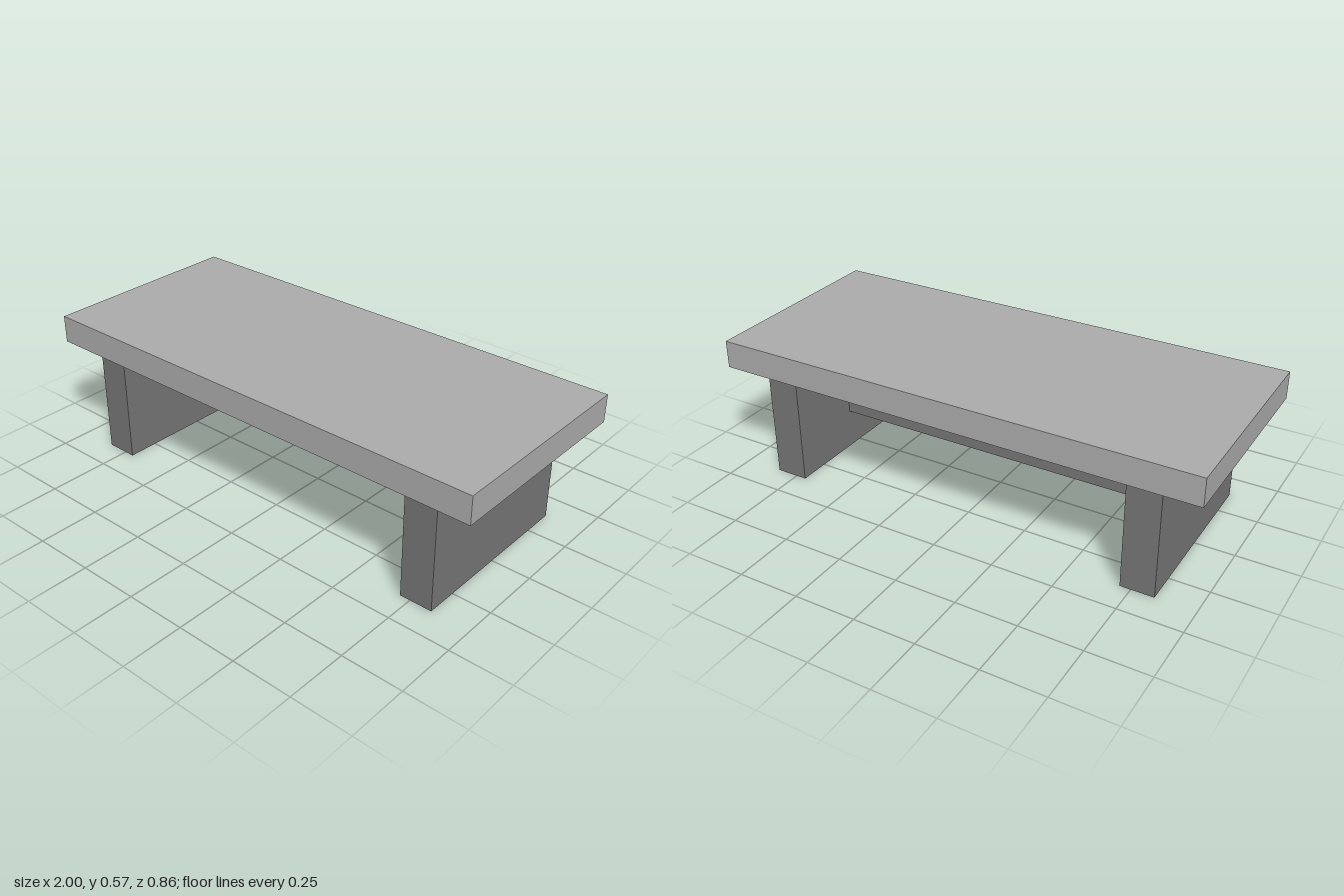
import * as THREE from 'three';

export function createModel() {
  const topGrey = new THREE.MeshStandardMaterial({ color: 0xaaaaaa });
  topGrey.name = 'light grey';
  const baseGrey = new THREE.MeshStandardMaterial({ color: 0x757575 });
  baseGrey.name = 'dark grey';

  const model = new THREE.Group();
  model.name = 'lowTable';

  // Box resting with its underside at the given height
  function block(name, width, height, depth, x, bottom, material) {
    const mesh = new THREE.Mesh(new THREE.BoxGeometry(width, height, depth), material);
    mesh.name = name;
    mesh.position.set(x, bottom + height / 2, 0);
    model.add(mesh);
  }

  // Overhanging slab top
  block('tableTop', 2, 0.113, 0.855, 0, 0.46, topGrey);

  // Panel legs at both ends
  for (const [name, side] of [['leftLeg', 1], ['rightLeg', -1]]) {
    block(name, 0.134, 0.46, 0.755, side * 0.774, 0, baseGrey);
  }

  // Square stretcher between the legs
  block('stretcher', 1.414, 0.113, 0.113, 0, 0.162, baseGrey);

  return model;
}
